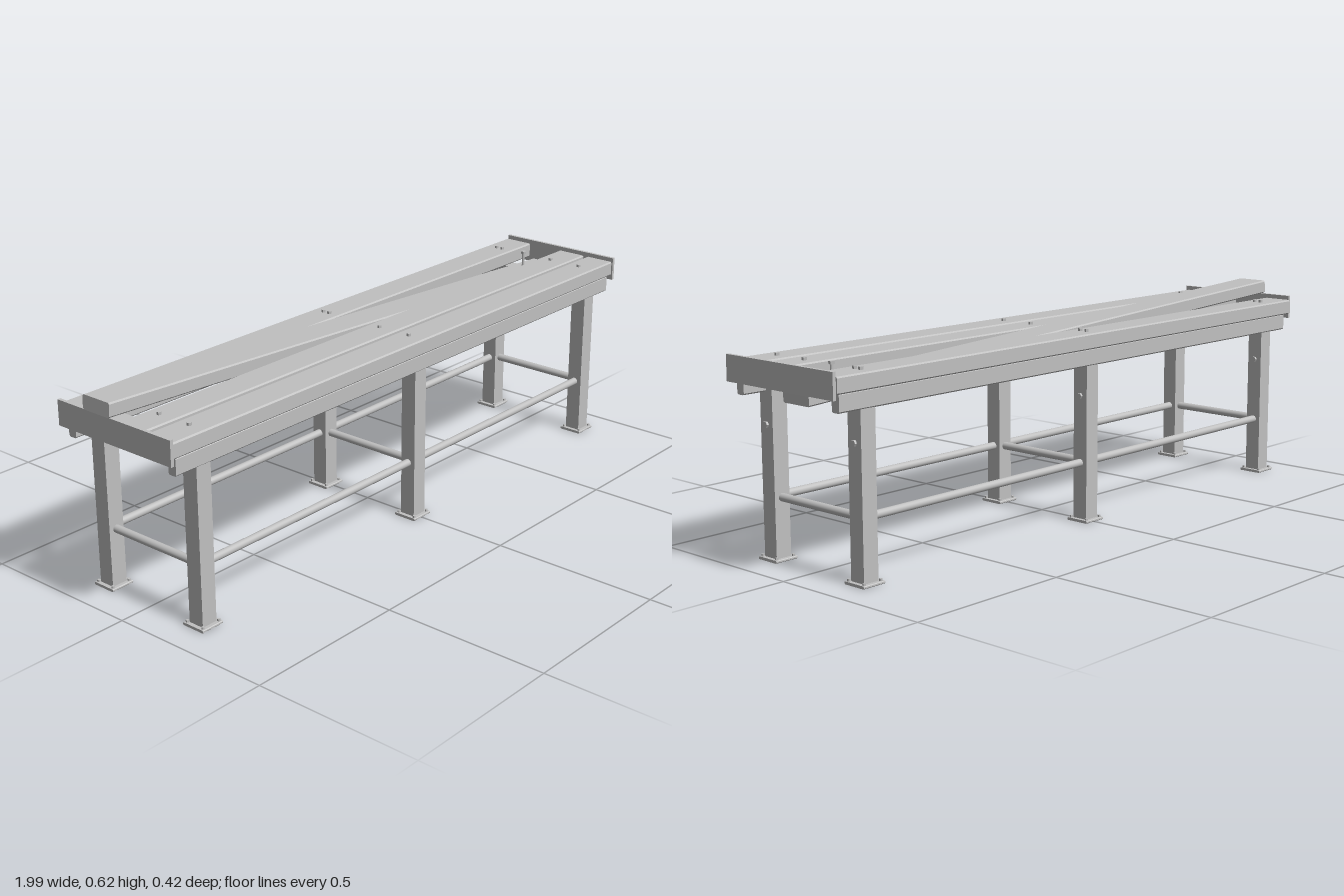
import * as THREE from 'three';

const steel = new THREE.MeshStandardMaterial({ color: 0xc0c0c0 });
steel.name = 'grey steel';

const LEG_X = [-0.874, 0, 0.872];
const LEG_Z = [0.176, -0.172];

export function createModel() {
  const bench = new THREE.Group();
  bench.name = 'bench';

  function add(name, geometry, x, y, z, parent = bench) {
    const mesh = new THREE.Mesh(geometry, steel);
    mesh.name = name;
    mesh.position.set(x, y, z);
    parent.add(mesh);
    return mesh;
  }
  const box = (w, h, d) => new THREE.BoxGeometry(w, h, d);

  // Bar along x with a chamfered cross-section, centred on the origin
  function bar(length, height, depth, c = 0.004) {
    const w = depth / 2, h = height / 2;
    const shape = new THREE.Shape([
      [-w + c, -h], [w - c, -h], [w, -h + c], [w, h - c],
      [w - c, h], [-w + c, h], [-w, h - c], [-w, -h + c],
    ].map(([x, y]) => new THREE.Vector2(x, y)));
    const g = new THREE.ExtrudeGeometry(shape, { depth: length, bevelEnabled: false });
    g.translate(0, 0, -length / 2);
    g.rotateY(Math.PI / 2);
    return g;
  }

  // Round tube along x or z
  function tube(length, axis) {
    const g = new THREE.CylinderGeometry(0.0115, 0.0115, length, 20);
    if (axis === 'x') g.rotateZ(Math.PI / 2);
    else g.rotateX(Math.PI / 2);
    return g;
  }

  // Seat planks, one of them loose and tilted
  const level = bar(1.97, 0.046, 0.095);
  add('backPlank', level, 0, 0.537, -0.164);
  add('innerPlank', level, 0, 0.537, 0.051);
  add('frontPlank', level, 0, 0.537, 0.1605);
  const loose = add('tiltedPlank', bar(1.985, 0.041, 0.1), -0.006, 0.5425, -0.0535);
  loose.rotation.z = -0.0525;

  // Plates closing the ends of the seat
  for (const s of [-1, 1]) add('endPlate', box(0.01, 0.073, 0.42), s * 0.99, 0.5365, 0.003);

  // Long rails under the outer planks
  add('frontRail', bar(1.94, 0.051, 0.027), 0, 0.489, 0.189);
  add('backRail', bar(1.94, 0.051, 0.027), 0, 0.489, -0.186);

  const hex = new THREE.CylinderGeometry(0.009, 0.009, 0.008, 6).toNonIndexed();
  hex.computeVertexNormals();
  const sideHex = hex.clone().rotateZ(Math.PI / 2);
  const footBolt = hex.clone().scale(0.5, 0.8, 0.5);
  const shaft = new THREE.CylinderGeometry(0.0045, 0.0045, 0.055, 10);

  // Leg frames: two posts, a top bearer and a low cross tube
  for (const x of LEG_X) {
    const frame = new THREE.Group();
    frame.name = 'legFrame';
    frame.position.x = x;
    bench.add(frame);

    for (const z of LEG_Z) {
      add('leg', box(0.05, 0.492, 0.049), 0, 0.254, z, frame);
      add('footPlate', bar(0.074, 0.008, 0.074, 0.002), 0, 0.004, z, frame);
      add('legBolt', sideHex, 0.028, 0.375, z, frame);
      for (const sx of [-1, 1]) {
        for (const sz of [-1, 1]) {
          add('footBolt', footBolt, sx * 0.029, 0.011, z + sz * 0.029, frame);
        }
      }
    }
    add('bearer', box(0.045, 0.039, 0.3), 0, 0.4945, 0.002, frame);
    add('crossTube', tube(0.3, 'z'), 0, 0.176, 0.002, frame);

    // Bolts through the seat planks
    for (const z of [0.155, 0.045, -0.15, -0.173]) {
      add('plankBolt', hex, 0, 0.564, z, frame).scale.set(0.75, 1, 0.75);
    }
  }

  // Loose bolt standing at the low end of the tilted plank
  add('looseBoltShaft', shaft, 0.872, 0.537, -0.063);
  add('looseBoltHead', hex, 0.872, 0.566, -0.063);

  // Long tubes joining the leg frames
  for (const z of LEG_Z) {
    for (let i = 0; i < 2; i++) {
      const a = LEG_X[i], b = LEG_X[i + 1];
      add('longTube', tube(b - a - 0.048, 'x'), (a + b) / 2, 0.176, z);
    }
  }
  return bench;
}
